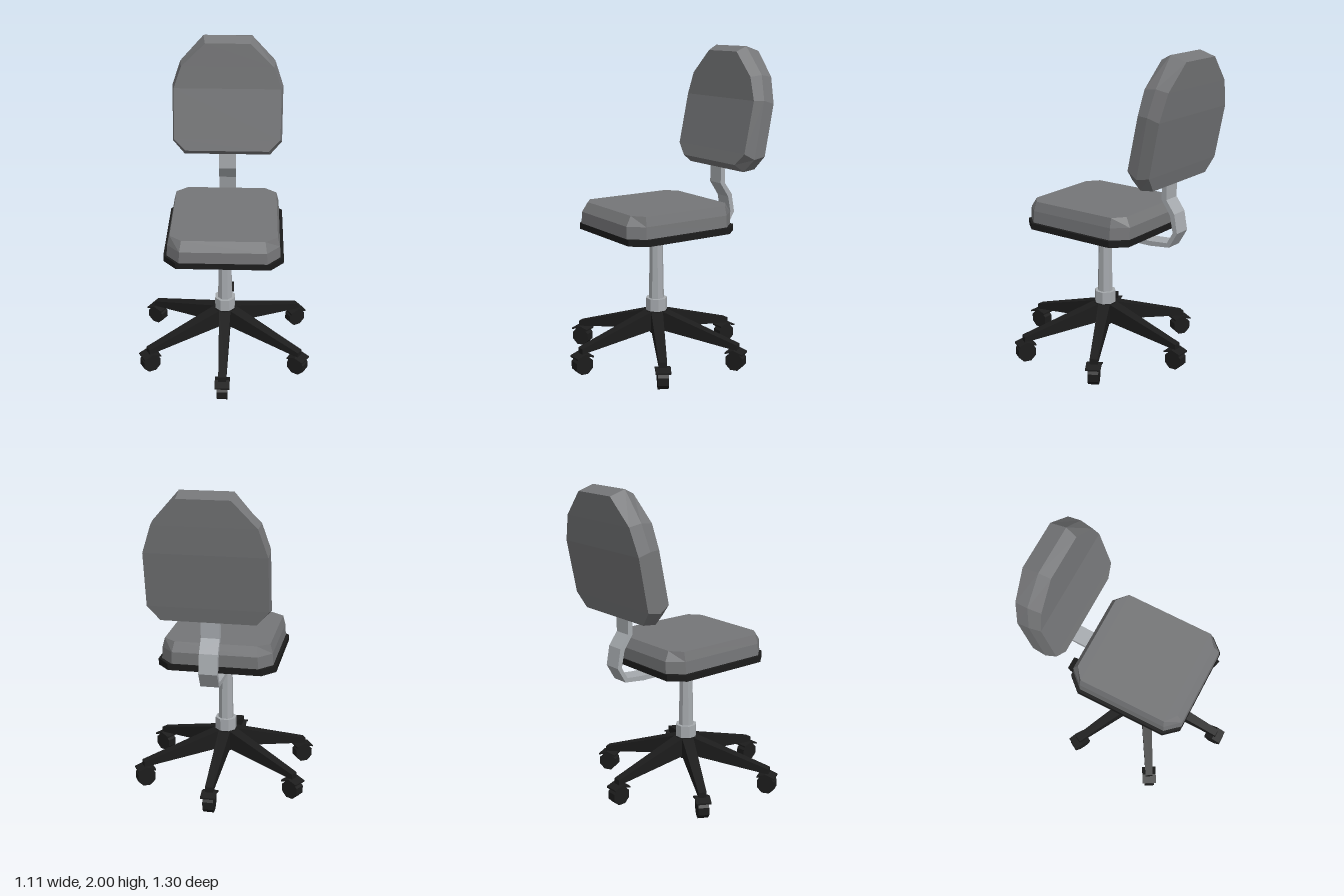
import * as THREE from 'three';

const mat = (name, color) => {
  const m = new THREE.MeshStandardMaterial({ color, flatShading: true });
  m.name = name;
  return m;
};

// Closed solid through mirrored rings; each ring is given by its +x half only.
function loft(halves) {
  const rings = halves.map(h => [...h, ...h.map(([x, y, z]) => [-x, y, z]).reverse()]);
  const n = rings[0].length, tris = [];
  const quad = (a, b, c, d) => tris.push(a, b, c, a, c, d);
  for (let r = 0; r < rings.length - 1; r++)
    for (let i = 0; i < n; i++) {
      const j = (i + 1) % n;
      quad(rings[r][i], rings[r][j], rings[r + 1][j], rings[r + 1][i]);
    }
  // caps made of left-to-right strips
  const first = rings[0], last = rings[rings.length - 1];
  for (let i = 0; i < n / 2 - 1; i++) {
    quad(first[i], first[n - 1 - i], first[n - 2 - i], first[i + 1]);
    quad(last[i], last[i + 1], last[n - 2 - i], last[n - 1 - i]);
  }
  // turn the faces outward if the solid came out inside-out
  let volume = 0;
  const v = p => new THREE.Vector3(...p);
  for (let i = 0; i < tris.length; i += 3)
    volume += v(tris[i]).dot(v(tris[i + 1]).cross(v(tris[i + 2])));
  if (volume < 0) tris.reverse();
  const g = new THREE.BufferGeometry();
  g.setAttribute('position', new THREE.Float32BufferAttribute(tris.flat(), 3));
  g.computeVertexNormals();
  return g;
}

// Half of a rectangle with cut corners, lying at height y
const octagon = (y, w, back, front, cx, cz) => [
  [w - cx, y, back], [w, y, back + cz], [w, y, front - cz], [w - cx, y, front]];

// Side profile given as [z, y], extruded across x and centred
function sideExtrude(points, width) {
  const shape = new THREE.Shape(points.map(([z, y]) => new THREE.Vector2(-z, y)));
  const g = new THREE.ExtrudeGeometry(shape, { depth: width, bevelEnabled: false });
  g.translate(0, 0, -width / 2);
  g.rotateY(Math.PI / 2);
  return g;
}

export function createModel() {
  const fabric = mat('grey fabric', 0x757678);
  const metal = mat('light metal', 0xa6aaae);
  const black = mat('black plastic', 0x1c1c1c);
  const model = new THREE.Group();
  model.name = 'officeChair';
  const add = (name, geo, material, parent = model) => {
    const m = new THREE.Mesh(geo, material);
    m.name = name;
    parent.add(m);
    return m;
  };
  const axisZ = 0.04;

  // Seat
  add('seatPlate', loft([
    octagon(0.85, 0.37, -0.355, 0.435, 0.08, 0.09),
    octagon(0.89, 0.37, -0.355, 0.435, 0.08, 0.09)]), black);
  add('seatCushion', loft([
    octagon(0.885, 0.35, -0.347, 0.434, 0.08, 0.09),
    octagon(0.965, 0.345, -0.347, 0.432, 0.08, 0.09),
    octagon(1.025, 0.33, -0.315, 0.395, 0.075, 0.06)]), fabric);

  // Backrest: front, middle and back outlines, bottom to top
  add('backrest', loft([
    [[0.275, 1.265, -0.371], [0.35, 1.34, -0.388], [0.35, 1.67, -0.457], [0.30, 1.815, -0.467], [0.145, 1.967, -0.477]],
    [[0.285, 1.215, -0.435], [0.363, 1.30, -0.46], [0.363, 1.668, -0.53], [0.31, 1.825, -0.55], [0.157, 2.0, -0.546]],
    [[0.285, 1.225, -0.525], [0.36, 1.315, -0.546], [0.36, 1.645, -0.61], [0.305, 1.81, -0.632], [0.155, 1.967, -0.65]]]), fabric);

  // Bent strip joining the seat to the backrest
  add('backBracket', sideExtrude([
    [-0.15, 0.797], [-0.35, 0.797], [-0.49, 0.812], [-0.547, 0.91], [-0.525, 1.03], [-0.466, 1.11], [-0.466, 1.26],
    [-0.436, 1.26], [-0.431, 1.11], [-0.495, 1.015], [-0.516, 0.91], [-0.475, 0.838], [-0.35, 0.828], [-0.15, 0.828]], 0.114), metal);

  // Pole with lower collar and flared top
  const profile = [[0, 0.31], [0.07, 0.31], [0.07, 0.4], [0.05, 0.4], [0.042, 0.79], [0.05, 0.79], [0.08, 0.835], [0.1, 0.85], [0, 0.85]];
  const pole = add('pole', new THREE.LatheGeometry(profile.map(p => new THREE.Vector2(...p)), 8, Math.PI / 8), metal);
  pole.position.z = axisZ;

  // Six-legged base with casters
  const hub = add('baseHub', new THREE.CylinderGeometry(0.075, 0.042, 0.155, 12), black);
  hub.position.set(0, 0.2425, axisZ);
  const legGeo = loft([
    [[0.042, 0.322, 0], [0.042, 0.19, 0]],
    [[0.038, 0.32, 0.06], [0.038, 0.195, 0.06]],
    [[0.025, 0.165, 0.57], [0.025, 0.13, 0.57]]]);
  const wheelGeo = new THREE.CylinderGeometry(0.062, 0.062, 0.066, 8);
  wheelGeo.rotateY(Math.PI / 8);
  wheelGeo.rotateZ(Math.PI / 2);
  const coverGeo = sideExtrude([
    [-0.058, 0.105], [0, 0.123], [0.058, 0.105], [0.058, 0.115], [0, 0.135], [-0.058, 0.115]], 0.094);
  const stemGeo = new THREE.CylinderGeometry(0.018, 0.018, 0.06, 8);
  for (let i = 0; i < 6; i++) {
    const arm = new THREE.Group();
    arm.name = 'baseArm' + (i + 1);
    arm.position.z = axisZ;
    arm.rotation.y = i * Math.PI / 3;
    add('leg', legGeo, black, arm);
    add('casterWheel', wheelGeo, black, arm).position.set(0, 0.059, 0.557);
    add('casterCover', coverGeo, black, arm).position.z = 0.557;
    add('casterStem', stemGeo, black, arm).position.set(0, 0.12, 0.55);
    model.add(arm);
  }
  return model;
}
